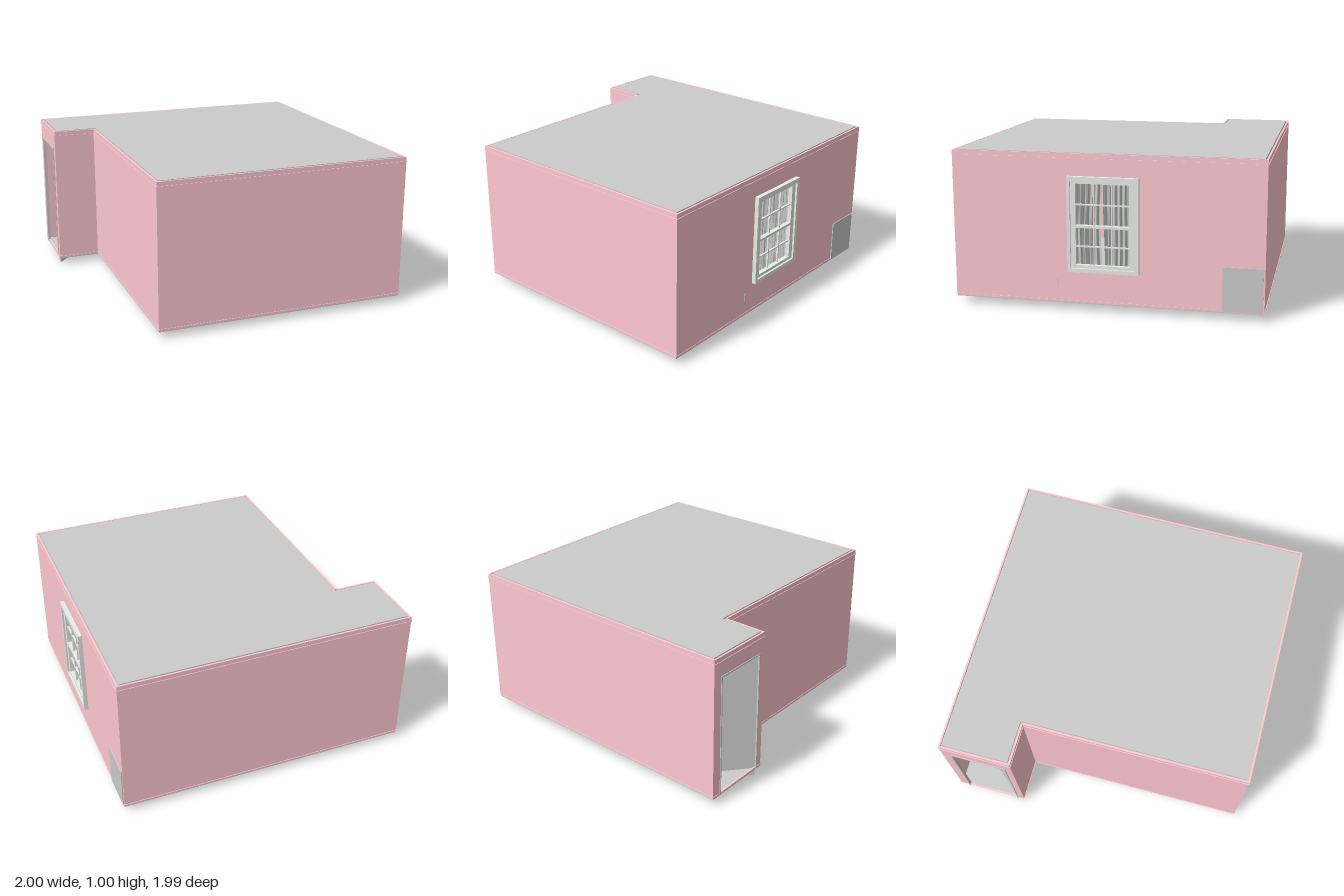
import * as THREE from 'three';

const material = (color) => new THREE.MeshStandardMaterial({ color, side: THREE.DoubleSide });
const pink = material(0xffc8d1);
const grey = material(0xcccccc);
const pale = material(0xe9ede9);

const FLOOR = 0.05, TOP = 1.0, THICK = 0.012;

// L-shaped floor plan as [x, z] corners, pulled inwards by d
const plan = (d) => [
  [-0.995 + d, -0.99 + d], [0.97 - d, -0.99 + d], [0.97 - d, 0.99 - d],
  [-0.71 + d, 0.99 - d], [-0.71 + d, -0.51 - d], [-0.995 + d, -0.51 - d],
];
const planPoints = (d) => plan(d).map(([x, z]) => new THREE.Vector2(x, -z));

function rectPath(x0, y0, x1, y1, PathType = THREE.Path) {
  return new PathType([[x0, y0], [x1, y0], [x1, y1], [x0, y1]].map((p) => new THREE.Vector2(...p)));
}

function add(parent, name, geometry, mat, x = 0, y = 0, z = 0) {
  const mesh = new THREE.Mesh(geometry, mat);
  mesh.name = name;
  mesh.position.set(x, y, z);
  parent.add(mesh);
  return mesh;
}

// Horizontal slab of the floor plan, optionally hollowed into a ring
function slab(parent, name, mat, inset, y, height, holeInset) {
  const shape = new THREE.Shape(planPoints(inset));
  if (holeInset !== undefined) shape.holes.push(new THREE.Path(planPoints(holeInset)));
  const geo = new THREE.ExtrudeGeometry(shape, { depth: height, bevelEnabled: false });
  geo.rotateX(-Math.PI / 2);
  return add(parent, name, geo, mat, 0, y, 0);
}

// Wall standing between two plan corners; its thickness goes inwards
function wall(parent, name, [ax, az], [bx, bz], hole) {
  const shape = rectPath(0, FLOOR, Math.hypot(bx - ax, bz - az), TOP, THREE.Shape);
  if (hole) shape.holes.push(rectPath(...hole));
  const geo = new THREE.ExtrudeGeometry(shape, { depth: THICK, bevelEnabled: false });
  const mesh = add(parent, name, geo, pink, ax, 0, az);
  mesh.rotation.y = Math.atan2(az - bz, bx - ax);
}

// Box on the +x wall given by its x, y and z ranges
function block(parent, name, mat, x0, x1, y0, y1, z0, z1) {
  return add(parent, name, new THREE.BoxGeometry(x1 - x0, y1 - y0, z1 - z0), mat,
    (x0 + x1) / 2, (y0 + y1) / 2, (z0 + z1) / 2);
}

// Rectangular frame facing +x: outer and inner [z0, y0, z1, y1]
function frame(parent, name, x0, x1, outer, inner) {
  const flip = ([z0, y0, z1, y1]) => [-z1, y0, -z0, y1];
  const shape = rectPath(...flip(outer), THREE.Shape);
  shape.holes.push(rectPath(...flip(inner)));
  const geo = new THREE.ExtrudeGeometry(shape, { depth: x1 - x0, bevelEnabled: false });
  geo.rotateY(Math.PI / 2);
  add(parent, name, geo, pale, x0);
}

function createWindow() {
  const g = new THREE.Group();
  g.name = 'window';
  const glass = [-0.155, 0.3, 0.185, 0.815];
  frame(g, 'windowCasing', 0.965, 0.998, [-0.215, 0.255, 0.238, 0.86], [-0.19, 0.28, 0.218, 0.83]);
  frame(g, 'windowSash', 0.955, 0.985, [-0.192, 0.278, 0.22, 0.832], glass);

  // Meeting rail and glazing bars
  block(g, 'meetingRail', pale, 0.955, 0.985, 0.537, 0.553, -0.155, 0.185);
  for (const y of [0.417, 0.682]) block(g, 'glazingBar', pale, 0.962, 0.975, y - 0.004, y + 0.004, -0.155, 0.185);
  for (const z of [-0.042, 0.072]) block(g, 'glazingBar', pale, 0.962, 0.975, 0.3, 0.815, z - 0.004, z + 0.004);

  // Pair of folded curtains with a narrow gap between them
  for (const [z0, z1, phase] of [[-0.2, 0.016, 0], [0.03, 0.23, 1.7]]) {
    const geo = new THREE.PlaneGeometry(z1 - z0, 0.58, 60, 10);
    geo.rotateY(Math.PI / 2);
    const p = geo.attributes.position;
    for (let i = 0; i < p.count; i++) {
      const z = p.getZ(i), y = p.getY(i);
      p.setX(i, 0.013 * Math.sin(z * 190 + phase + 0.8 * Math.sin(y * 7)) + 0.005 * Math.sin(z * 410 + y * 5));
      p.setZ(i, z + 0.004 * Math.sin(y * 9 + phase));
    }
    geo.computeVertexNormals();
    add(g, 'curtain', geo, grey, 0.93, 0.555, (z0 + z1) / 2);
  }
  return g;
}

export function createModel() {
  const room = new THREE.Group();
  room.name = 'room';

  // Floor, ceiling and the raised roof panel inside the wall tops
  slab(room, 'floor', grey, 0.001, FLOOR - 0.005, 0.01);
  slab(room, 'ceiling', grey, 0.004, 0.98, 0.006);
  slab(room, 'roofPanel', grey, 0.019, 0.985, 0.017);

  // Walls, with openings for the window and the doorway
  const corners = plan(0);
  const names = ['backWall', 'leftWall', 'frontWall', 'sideWall', 'alcoveReturnWall', 'alcoveEndWall'];
  const openings = { leftWall: [0.82, 0.29, 1.19, 0.825], alcoveEndWall: [0.05, 0.056, 0.41, 0.87] };
  names.forEach((name, i) => wall(room, name, corners[i], corners[(i + 1) % 6], openings[name]));

  // Thin mouldings showing along the top and bottom of the walls
  slab(room, 'crownMoulding', pink, -0.004, 0.966, 0.006, 0.008);
  slab(room, 'baseMoulding', pink, -0.004, 0.06, 0.005, 0.008).scale.x = 0.999;

  room.add(createWindow());

  // Access panel and outlet on the window wall
  block(room, 'wallPanel', grey, 0.96, 0.976, 0.055, 0.335, -0.98, -0.73);
  block(room, 'outlet', grey, 0.965, 0.975, 0.15, 0.205, 0.305, 0.312);

  // Door leaf standing open at an angle, hinged at the doorway
  const hinge = new THREE.Group();
  hinge.name = 'door';
  hinge.position.set(-0.985, 0, -0.558);
  hinge.rotation.y = Math.atan2(0.295, 0.25);
  add(hinge, 'doorLeaf', new THREE.BoxGeometry(0.38, 0.865, 0.014), grey, 0.19, 0.4325, 0);
  room.add(hinge);

  // Slim door jambs and head
  for (const z of [-0.922, -0.558]) block(room, 'doorJamb', grey, -1.0, -0.98, 0.052, 0.87, z - 0.004, z + 0.004);
  block(room, 'doorHead', grey, -1.0, -0.98, 0.864, 0.872, -0.926, -0.554);

  return room;
}
